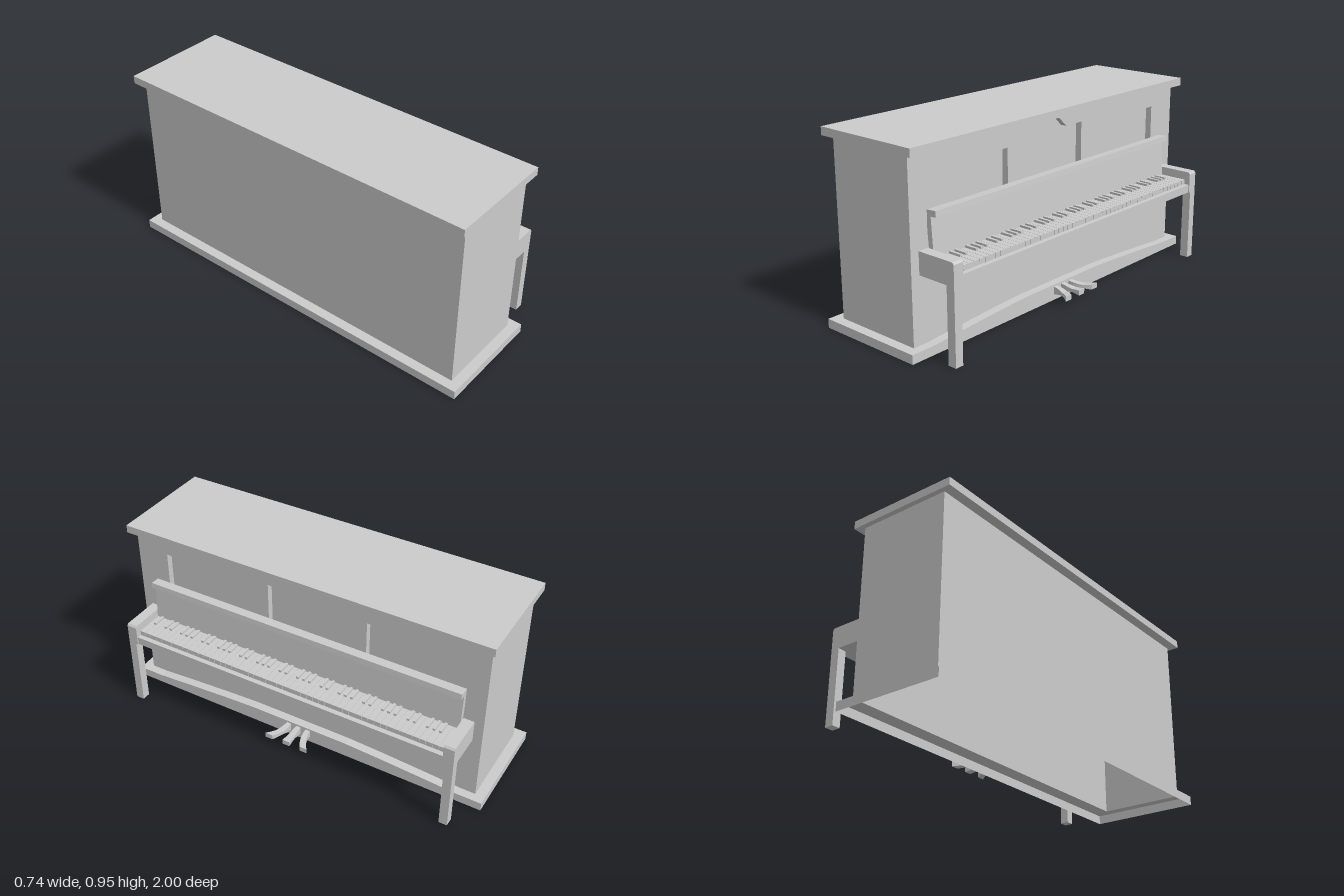
import * as THREE from 'three';

const mat = new THREE.MeshStandardMaterial({ color: 0xcccccc, flatShading: true });
const thin = new THREE.MeshStandardMaterial({ color: 0xcccccc, flatShading: true, side: THREE.DoubleSide });

export function createModel() {
  const root = new THREE.Group();
  root.name = 'uprightPiano';

  const add = (name, geo, material = mat) => {
    const m = new THREE.Mesh(geo, material);
    m.name = name;
    root.add(m);
    return m;
  };
  const boxGeo = (x0, x1, y0, y1, z0, z1) =>
    new THREE.BoxGeometry(x1 - x0, y1 - y0, z1 - z0)
      .translate((x0 + x1) / 2, (y0 + y1) / 2, (z0 + z1) / 2);
  const box = (name, ...b) => add(name, boxGeo(...b));
  // Box shell that keeps only the listed sides (0..5 = +x -x +y -y +z -z)
  const shell = (name, sides, ...b) => {
    const g = boxGeo(...b);
    const idx = Array.from(g.index.array);
    g.setIndex(sides.flatMap((s) => idx.slice(s * 6, s * 6 + 6)));
    g.clearGroups();
    return add(name, g, thin);
  };
  const outline = (pts) => new THREE.Shape(pts.map(([a, b]) => new THREE.Vector2(a, b)));
  const rect = (a0, a1, b0, b1) => [[a0, b0], [a1, b0], [a1, b1], [a0, b1]];
  const extrude = (shape, depth) =>
    new THREE.ExtrudeGeometry(shape, { depth, bevelEnabled: false });
  // Profile in x/y, extruded along z
  const along = (name, pts, z0, z1) => add(name, extrude(outline(pts), z1 - z0).translate(0, 0, z0));
  // Symmetric profile in z/y, extruded along x
  const facing = (name, shape, x0, x1) =>
    add(name, extrude(shape, x1 - x0).rotateY(Math.PI / 2).translate(x0, 0, 0));

  // Hollow case, open below
  shell('caseShell', [1, 2, 4, 5], -0.32, 0.155, 0.045, 0.91, -0.95, 0.95);
  box('lid', -0.37, 0.2, 0.91, 0.95, -0.975, 0.975);

  // Base skirt with a ledge around the case
  shell('baseSkirt', [0, 1, 4, 5], -0.37, 0.2, 0, 0.045, -1, 1);
  const ledge = outline(rect(-0.37, 0.2, -1, 1));
  ledge.holes.push(outline(rect(-0.32, 0.12, -0.95, 0.95)));
  add('baseLedge', new THREE.ShapeGeometry(ledge).rotateX(-Math.PI / 2).translate(0, 0.045, 0), thin);

  // Front board with three recessed panels
  const front = outline(rect(-0.95, 0.95, 0.045, 0.91));
  for (const s of [-1, 1]) {
    front.holes.push(outline(rect(s * 0.56 - 0.215, s * 0.56 + 0.215, 0.6, 0.82)));
  }
  front.holes.push(outline([[-0.185, 0.6], [0.185, 0.6], [0.185, 0.845], [0.07, 0.845],
    [0, 0.908], [-0.07, 0.845], [-0.185, 0.845]]));
  facing('frontBoard', front, 0.122, 0.155);
  box('recessBacking', 0.118, 0.122, 0.58, 0.91, -0.95, 0.95);

  // Arched plinth above the base
  const arch = [[-0.86, 0.045], [0.86, 0.045]];
  for (const z of [0.84, 0.65, 0.45, 0.27]) arch.push([z, 0.08 - 0.033 * ((z - 0.27) / 0.57) ** 1.2]);
  for (const z of [0.27, 0.45, 0.65, 0.84]) arch.push([-z, 0.08 - 0.033 * ((z - 0.27) / 0.57) ** 1.2]);
  facing('archedPlinth', outline(arch), 0.155, 0.2);

  // Arms and legs
  const arm = [[0.155, 0.37], [0.365, 0.37], [0.365, 0.47], [0.357, 0.48], [0.155, 0.48]];
  for (const s of [-1, 1]) {
    const name = s > 0 ? 'left' : 'right';
    along(name + 'Arm', arm, s > 0 ? 0.85 : -0.904, s > 0 ? 0.904 : -0.85);
    box(name + 'Leg', 0.32, 0.365, 0, 0.37, s * 0.8825 - 0.0215, s * 0.8825 + 0.0215);
  }

  // Key bed and fallboard with its folded lip
  box('keyBed', 0.155, 0.36, 0.37, 0.412, -0.855, 0.855);
  along('fallboard', [[0.155, 0.652], [0.155, 0.56], [0.165, 0.44], [0.19, 0.44], [0.178, 0.624],
    [0.21, 0.628], [0.207, 0.656]], -0.85, 0.85);

  // Keys: bass at +z, white notes run A..G
  const pitch = 1.7 / 52;
  for (let i = 0; i < 52; i++) {
    const z = 0.85 - (i + 0.5) * pitch;
    box('whiteKey', 0.155, 0.335, 0.412, 0.437, z - pitch / 2 + 0.0008, z + pitch / 2 - 0.0008);
    if (i < 51 && [0, 2, 3, 5, 6].includes(i % 7)) {
      const zb = z - pitch / 2;
      box('blackKey', 0.165, 0.255, 0.437, 0.448, zb - 0.007, zb + 0.007);
    }
  }

  // Three pedals, the outer two sweeping sideways
  for (const s of [-1, 0, 1]) {
    const g = new THREE.BoxGeometry(1, 2, 2, 8, 1, 1);
    const p = g.attributes.position;
    for (let i = 0; i < p.count; i++) {
      const t = p.getX(i) + 0.5;
      const waist = Math.min(1, t / 0.6);
      const flare = Math.max(0, (t - 0.6) / 0.4);
      const halfH = 0.02 - 0.012 * waist + 0.005 * flare;
      const halfW = 0.012 + 0.008 * t;
      p.setXYZ(i, 0.2 + 0.12 * t, 0.05 + 0.004 * waist + p.getY(i) * halfH,
        s * (0.055 + 0.045 * t * t) + p.getZ(i) * halfW);
    }
    g.computeVertexNormals();
    add('pedal', g);
  }
  return root;
}
